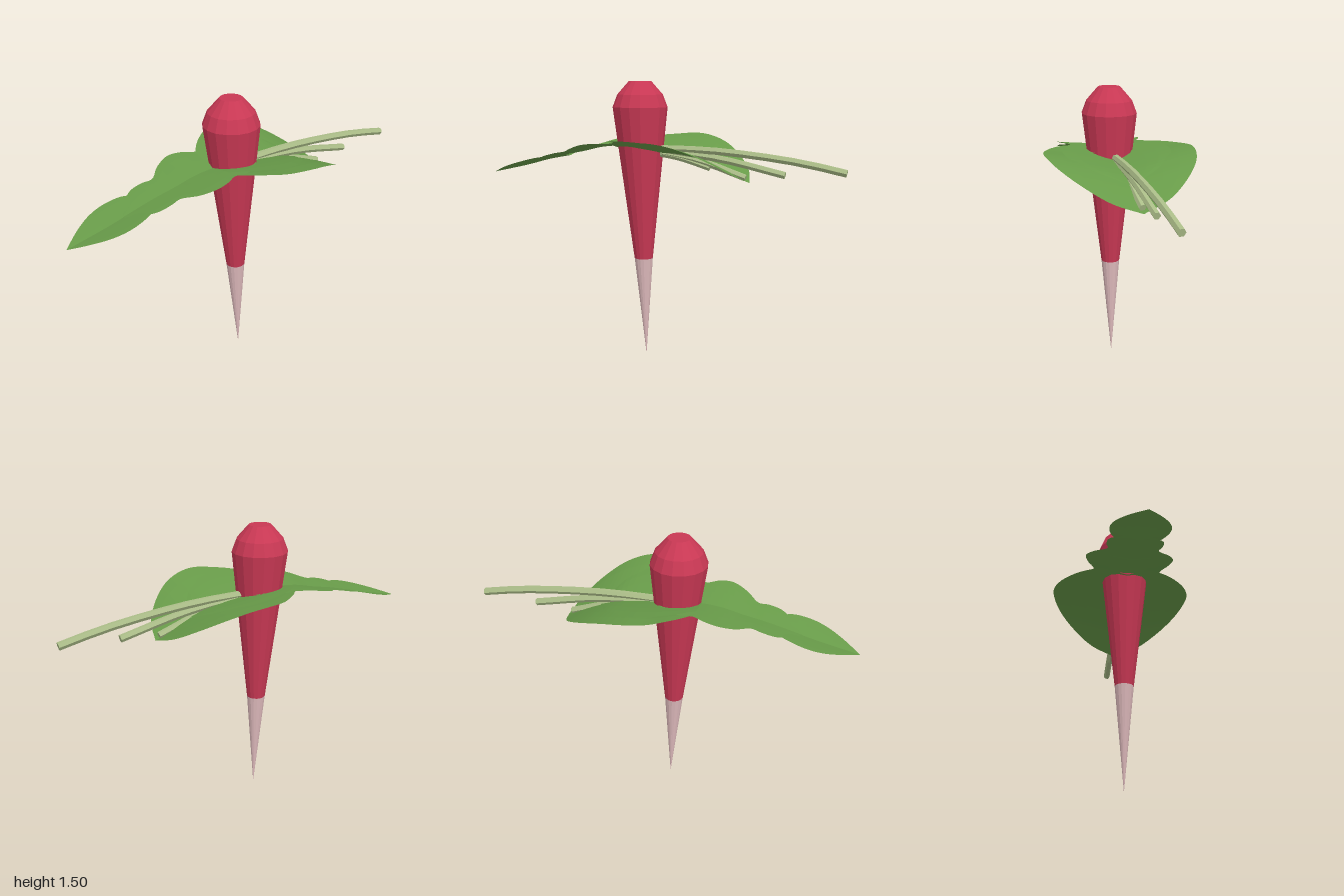
import * as THREE from 'three';

const mat = (name, color, side = THREE.FrontSide) => {
  const m = new THREE.MeshStandardMaterial({ color, side, flatShading: true });
  m.name = name;
  return m;
};

// Turned section of the root, leaning slightly so the tip drifts towards +x
function rootSection(name, profile, material) {
  const geo = new THREE.LatheGeometry(profile.map(([r, y]) => new THREE.Vector2(r, y)), 16);
  const p = geo.attributes.position;
  for (let i = 0; i < p.count; i++) {
    p.setX(i, p.getX(i) - 0.045 - 0.034 * Math.min(1, p.getY(i) / 1.2));
  }
  geo.computeVertexNormals();
  const mesh = new THREE.Mesh(geo, material);
  mesh.name = name;
  return mesh;
}

// Leaf blade lofted along x: stations are [x, midrib height, half width];
// the two halves rise from the midrib by the given slope
function leaf(name, stations, slope, material) {
  const spine = new THREE.CatmullRomCurve3(stations.map((s) => new THREE.Vector3(...s)));
  const rows = spine.getPoints(stations.length * 4);
  const cols = 8, pos = [], idx = [];
  rows.forEach(({ x, y, z: half }, i) => {
    const w = Math.max(half, 0);
    for (let j = 0; j <= cols; j++) {
      const t = (j / cols) * 2 - 1;
      const a = Math.abs(t);
      pos.push(x, y + slope * w * (1.15 * a - 0.15 * a * a * a), w * t);
      if (i && j) {
        const d = i * (cols + 1) + j, c = d - 1, b = d - cols - 1, e = b - 1;
        idx.push(e, c, b, b, c, d);
      }
    }
  });
  // keep the upper face outward whichever way the stations run
  if (stations[0][0] > stations.at(-1)[0]) idx.reverse();
  const geo = new THREE.BufferGeometry();
  geo.setAttribute('position', new THREE.Float32BufferAttribute(pos, 3));
  geo.setIndex(idx);
  geo.computeVertexNormals();
  const mesh = new THREE.Mesh(geo, material);
  mesh.name = name;
  return mesh;
}

// Thin closed stalk along a gentle curve
function stalk(name, points, radius, material) {
  const group = new THREE.Group();
  group.name = name;
  const curve = new THREE.CatmullRomCurve3(points.map(([x, y]) => new THREE.Vector3(x, y, 0)));
  group.add(new THREE.Mesh(new THREE.TubeGeometry(curve, 8, radius, 6), material));
  const cap = new THREE.Mesh(new THREE.CircleGeometry(radius, 6), material);
  cap.position.copy(curve.getPoint(1));
  cap.lookAt(cap.position.clone().add(curve.getTangent(1)));
  cap.name = 'stalkEnd';
  group.add(cap);
  return group;
}

export function createModel() {
  const red = mat('root red', 0xc93854);
  const pink = mat('tip pink', 0xddb9bb);
  const green = mat('leaf green', 0x689b49, THREE.DoubleSide);
  const pale = mat('stalk green', 0xabbd88, THREE.DoubleSide);
  const model = new THREE.Group();
  model.name = 'radish';

  // Root
  model.add(
    rootSection('rootTip', [[0, 0], [0.05, 0.555]], pink),
    rootSection('rootBody', [[0.05, 0.555], [0.145, 1.37], [0.12, 1.435], [0.058, 1.505], [0, 1.505]], red),
  );

  // Leaves: broad one on the left, lobed ones trailing to the right
  model.add(
    leaf('broadLeaf', [
      [-0.2, 1.15, 0.15], [-0.14, 1.145, 0.23], [-0.08, 1.14, 0.29], [0, 1.132, 0.35], [0.11, 1.13, 0.388],
      [0.2, 1.12, 0.38], [0.3, 1.095, 0.34], [0.4, 1.055, 0.255], [0.48, 1.015, 0.14], [0.52, 0.998, 0],
    ], 0.22, green),
    leaf('innerLeaf', [
      [-0.2, 1.165, 0.14], [-0.08, 1.155, 0.23], [0.08, 1.14, 0.28], [0.22, 1.12, 0.22], [0.34, 1.085, 0],
    ], 0.22, green),
    leaf('middleLeaf', [
      [0, 1.165, 0.1], [-0.12, 1.165, 0.19], [-0.19, 1.163, 0.18], [-0.25, 1.16, 0.215], [-0.32, 1.15, 0.23],
      [-0.4, 1.13, 0.195], [-0.47, 1.115, 0.13], [-0.52, 1.105, 0.14], [-0.6, 1.085, 0.13], [-0.71, 1.055, 0],
    ], 0.13, green),
    leaf('endLeaf', [
      [-0.5, 1.1, 0.06], [-0.58, 1.085, 0.09], [-0.65, 1.07, 0.13], [-0.74, 1.045, 0.145],
      [-0.82, 1.025, 0.128], [-0.91, 1.005, 0.075], [-1, 0.985, 0],
    ], 0.16, green),
  );

  // Stalks fanning downward from the root
  [
    [[-0.06, 1.155], [0.33, 1.153], [0.76, 1.112], [0.998, 1.068]],
    [[-0.06, 1.15], [0.35, 1.115], [0.7, 1.045]],
    [[-0.06, 1.145], [0.25, 1.1], [0.5, 1.022]],
    [[-0.06, 1.14], [0.15, 1.11], [0.31, 1.065]],
  ].forEach((pts, i) => model.add(stalk(`stalk${i + 1}`, pts, 0.02 - i * 0.001, pale)));

  return model;
}
